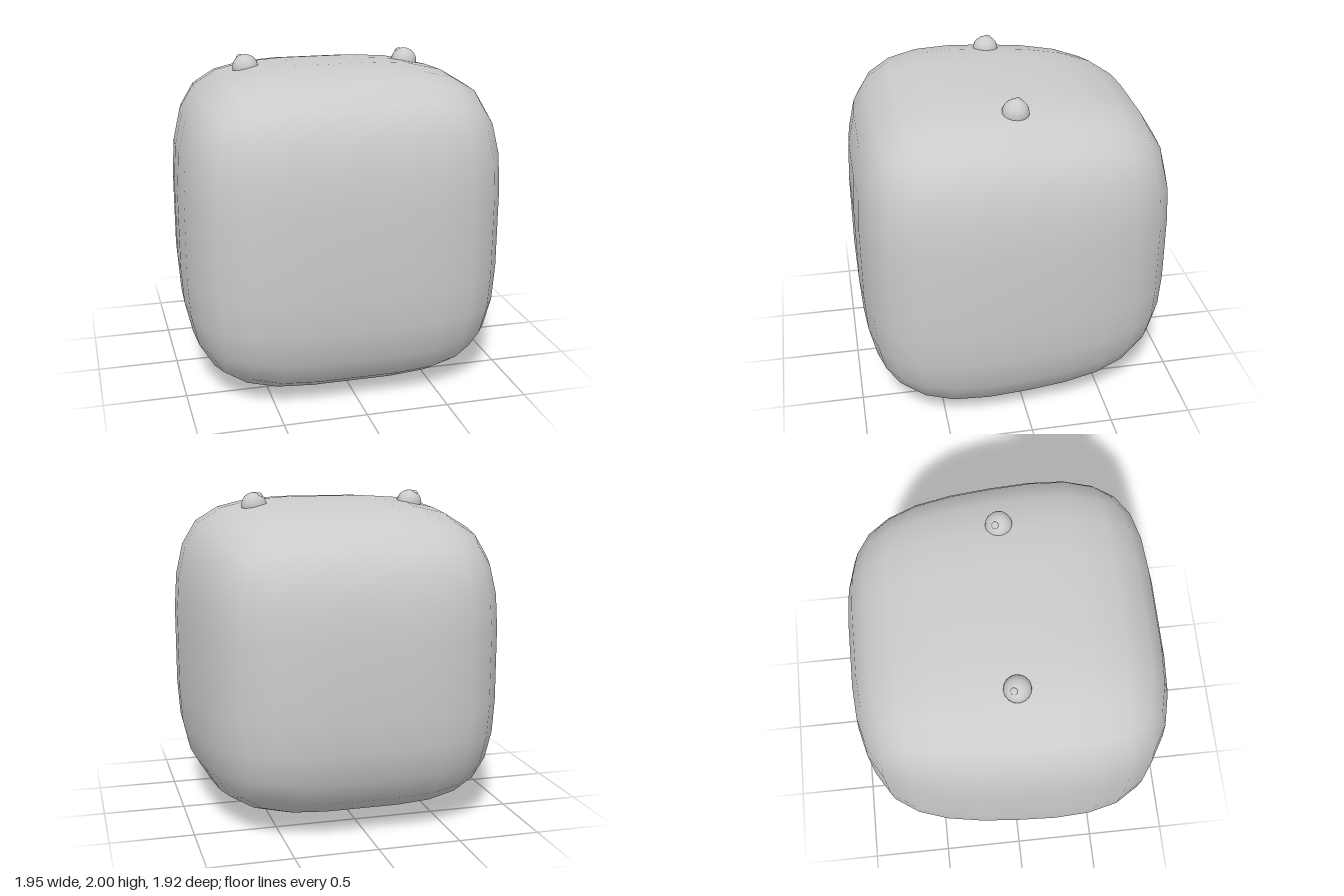
import * as THREE from 'three';

const material = new THREE.MeshStandardMaterial({ color: 0xcccccc });

// One Catmull-Clark step on a closed quad mesh
function subdivide({ points, quads }) {
  const out = [];
  const add = (p) => out.push(p) - 1;
  const average = (list) => list.reduce((s, p) => s.add(p), new THREE.Vector3()).divideScalar(list.length);
  const faceCentres = quads.map((q) => average(q.map((i) => points[i])));
  const edges = new Map();
  const rings = points.map(() => ({ faces: [], mids: [] }));
  const key = (a, b) => Math.min(a, b) + '_' + Math.max(a, b);

  quads.forEach((q, f) => q.forEach((a, i) => {
    const b = q[(i + 1) % 4];
    rings[a].faces.push(faceCentres[f]);
    if (!edges.has(key(a, b))) {
      const mid = average([points[a], points[b]]);
      edges.set(key(a, b), { ends: [points[a], points[b]], faces: [] });
      rings[a].mids.push(mid);
      rings[b].mids.push(mid);
    }
    edges.get(key(a, b)).faces.push(faceCentres[f]);
  }));

  points.forEach((p, i) => {
    const { faces, mids } = rings[i];
    const n = faces.length;
    add(p.clone().multiplyScalar(n - 3).add(average(faces)).addScaledVector(average(mids), 2).divideScalar(n));
  });
  for (const e of edges.values()) e.index = add(average([...e.ends, ...e.faces]));
  const next = [];
  quads.forEach((q, f) => {
    const centre = add(faceCentres[f]);
    q.forEach((a, i) => next.push([
      a, edges.get(key(a, q[(i + 1) % 4])).index, centre, edges.get(key(q[(i + 3) % 4], a)).index,
    ]));
  });
  return { points: out, quads: next };
}

// Welded 2 x 2 x 2 box cage, narrower toward the back
function bodyCage() {
  const box = new THREE.BoxGeometry(2, 2, 2, 2, 2, 2);
  const pos = box.attributes.position;
  const halfWidth = { '-1': 0.86, 0: 0.987, 1: 0.975 };
  const seen = new Map();
  const points = [];
  const weld = (i) => {
    const [x, y, z] = [pos.getX(i), pos.getY(i), pos.getZ(i)].map((v) => Math.round(v) + 0);
    const id = `${x},${y},${z}`;
    if (!seen.has(id)) {
      const w = halfWidth[z];
      seen.set(id, points.push(new THREE.Vector3(x * w, y * w, z * 0.96)) - 1);
    }
    return seen.get(id);
  };
  const quads = [];
  const idx = box.index.array;
  for (let i = 0; i < idx.length; i += 6) {
    quads.push([idx[i], idx[i + 1], idx[i + 4], idx[i + 2]].map(weld));
  }
  return { points, quads };
}

function bodyGeometry() {
  let mesh = bodyCage();
  for (let i = 0; i < 2; i++) mesh = subdivide(mesh);
  const geometry = new THREE.BufferGeometry().setFromPoints(mesh.points);
  geometry.setIndex(mesh.quads.flatMap(([a, b, c, d]) => [a, b, d, b, c, d]));
  geometry.computeVertexNormals();
  return geometry;
}

function ball(name, radius, x, y, z) {
  const mesh = new THREE.Mesh(new THREE.SphereGeometry(radius, 16, 12), material);
  mesh.name = name;
  mesh.position.set(x, y, z);
  return mesh;
}

export function createModel() {
  const model = new THREE.Group();
  model.name = 'roundedBlock';

  // Soft cube body
  const body = new THREE.Mesh(bodyGeometry(), material);
  body.name = 'body';
  body.position.y = 0.98;
  model.add(body);

  // Two bead eyes on top, each with a small glint on the same side
  for (const side of [-1, 1]) {
    const eye = new THREE.Group();
    eye.name = side > 0 ? 'leftEye' : 'rightEye';
    eye.position.set(side * 0.507, 1.92, 0.02);
    eye.add(ball('eyeball', 0.08, 0, 0, 0));
    eye.add(ball('glint', 0.025, -0.028, 0.053, -0.02));
    model.add(eye);
  }
  return model;
}
